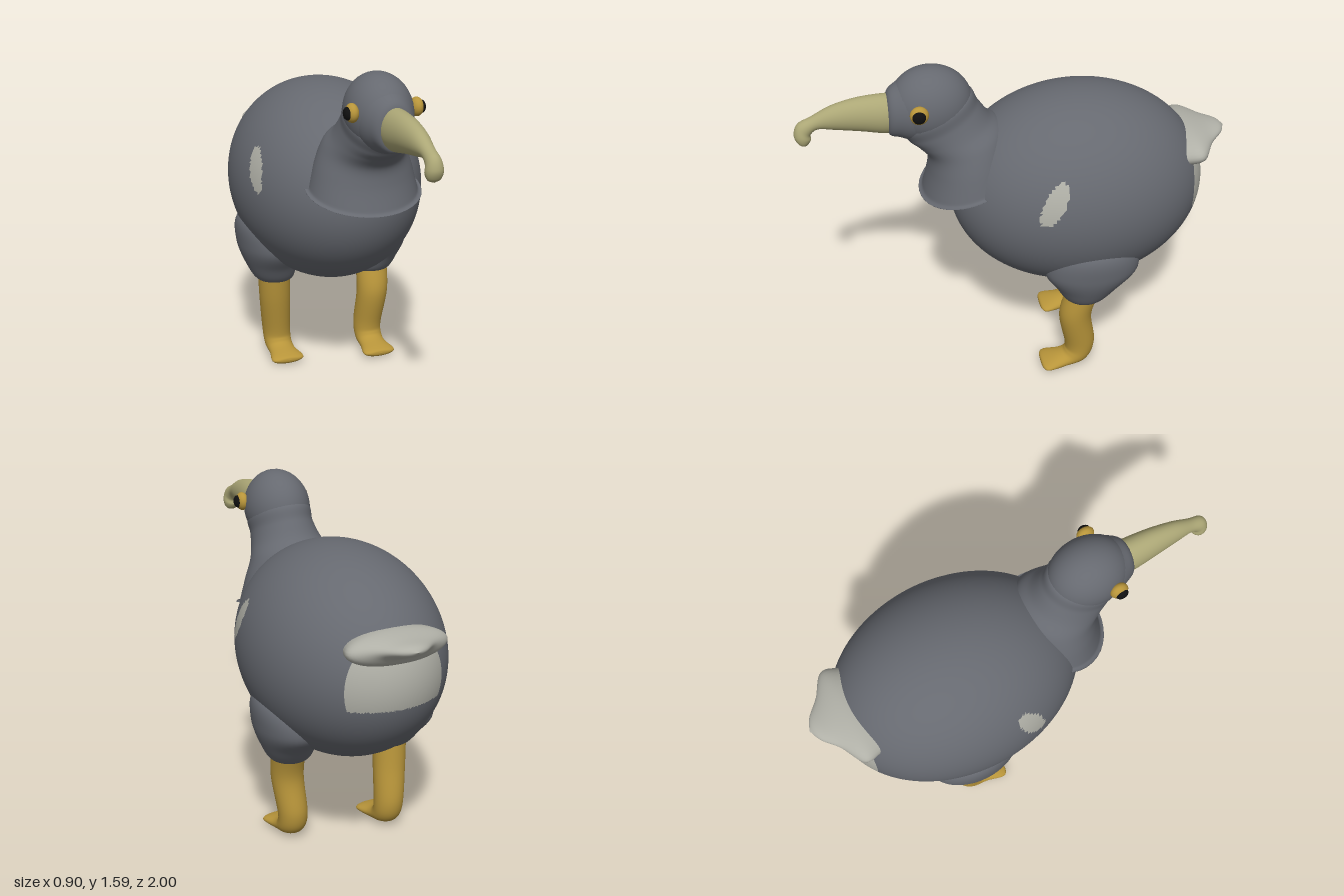
import * as THREE from 'three';

const mat = (name, color) => {
  const m = new THREE.MeshStandardMaterial({ color });
  m.name = name;
  return m;
};

// Smooth skin over elliptical rings [x, halfWidth, zA, yA, zB, yB];
// A and B are the two ends of the ring in the side plane.
function loft(rings, steps = 8, sides = 40) {
  const curve = (f) => new THREE.CatmullRomCurve3(rings.map(f), false, 'catmullrom', 0.5);
  const size = curve((r) => new THREE.Vector3(r[0], r[1], 0));
  const endA = curve((r) => new THREE.Vector3(0, r[3], r[2]));
  const endB = curve((r) => new THREE.Vector3(0, r[5], r[4]));
  const n = (rings.length - 1) * steps;
  const pos = [], index = [];
  for (let i = 0; i <= n; i++) {
    const s = size.getPoint(i / n), a = endA.getPoint(i / n), b = endB.getPoint(i / n);
    const w = Math.max(0, s.y);
    for (let j = 0; j < sides; j++) {
      const t = (j / sides) * Math.PI * 2, k = (Math.sin(t) + 1) / 2;
      pos.push(s.x + w * Math.cos(t), a.y + (b.y - a.y) * k, a.z + (b.z - a.z) * k);
      if (i < n) {
        const p = i * sides + j, q = i * sides + ((j + 1) % sides);
        index.push(p, q, p + sides, q, q + sides, p + sides);
      }
    }
  }
  const g = new THREE.BufferGeometry();
  g.setAttribute('position', new THREE.Float32BufferAttribute(pos, 3));
  g.setIndex(index);
  g.computeVertexNormals();
  return g;
}

function ellipsoid(rx, ry, rz, x, y, z, ws = 40, hs = 28) {
  return new THREE.SphereGeometry(1, ws, hs).rotateX(Math.PI / 2).scale(rx, ry, rz).translate(x, y, z);
}

// Sort faces into two material groups by their centre
function paint(g, test) {
  const p = g.attributes.position, idx = g.index.array, base = [], marked = [];
  const c = new THREE.Vector3(), v = new THREE.Vector3();
  for (let i = 0; i < idx.length; i += 3) {
    c.set(0, 0, 0);
    for (let k = 0; k < 3; k++) c.addScaledVector(v.fromBufferAttribute(p, idx[i + k]), 1 / 3);
    (test(c) ? marked : base).push(idx[i], idx[i + 1], idx[i + 2]);
  }
  g.setIndex([...base, ...marked]);
  g.addGroup(0, base.length, 0);
  g.addGroup(base.length, marked.length, 1);
  return g;
}

export function createModel() {
  const grey = mat('slate plumage', 0x666970);
  const pale = mat('pale feathers', 0xb0b0a7);
  const gold = mat('golden skin', 0xb8953a);
  const horn = mat('beak horn', 0xaca776);
  const black = mat('pupil black', 0x101010);

  const model = new THREE.Group();
  model.name = 'bird';
  const add = (name, geo, material) => {
    const m = new THREE.Mesh(geo, material);
    m.name = name;
    model.add(m);
  };

  // Body with pale rump and pale wing patches
  const isPale = (c) => {
    if (c.z < -0.8 && c.y > 0.85) return true;
    const dz = c.z + 0.1, dy = c.y - 1.065;
    const u = -0.45 * dz + 0.89 * dy, v = 0.89 * dz + 0.45 * dy;
    return (u / 0.112) ** 2 + (v / 0.045) ** 2 < 1;
  };
  add('body', paint(ellipsoid(0.45, 0.485, 0.6, 0, 0.937, -0.29, 180, 120), isPale), [grey, pale]);

  // Tail wedge
  add('tail', loft([
    [0, 0.22, -0.74, 1.19, -0.76, 1.02],
    [0, 0.235, -0.82, 1.195, -0.86, 1.05],
    [0, 0.13, -0.91, 1.18, -0.91, 1.095],
    [0, 0.06, -0.97, 1.17, -0.975, 1.125],
    [0, 0, -1, 1.15, -1, 1.15],
  ]), pale);

  // Neck flaring into a feather collar with a hard hem
  add('neckCollar', loft([
    [0, 0, 0.2, 1.1, 0.2, 1.1],
    [0, 0.255, 0.435, 0.97, 0.0, 1.1],
    [0, 0.255, 0.435, 0.972, 0.0, 1.1],
    [0, 0.228, 0.41, 1.08, 0.03, 1.2],
    [0, 0.195, 0.41, 1.16, 0.06, 1.29],
    [0, 0.165, 0.455, 1.215, 0.12, 1.34],
    [0, 0.147, 0.5, 1.255, 0.17, 1.41],
    [0, 0.135, 0.53, 1.33, 0.22, 1.48],
    [0, 0, 0.38, 1.42, 0.38, 1.42],
  ]), grey);

  // Head and face tapering to the beak
  add('head', ellipsoid(0.152, 0.18, 0.19, 0, 1.42, 0.385), grey);
  add('face', loft([
    [0, 0.13, 0.38, 1.26, 0.38, 1.58],
    [0, 0.134, 0.46, 1.25, 0.46, 1.575],
    [0, 0.11, 0.53, 1.272, 0.53, 1.535],
    [0, 0.073, 0.58, 1.292, 0.58, 1.488],
    [0, 0, 0.58, 1.39, 0.58, 1.39],
  ]), grey);

  // Hooked beak
  add('beak', loft([
    [0, 0.068, 0.55, 1.3, 0.55, 1.48],
    [0, 0.07, 0.6, 1.295, 0.6, 1.485],
    [0, 0.06, 0.7, 1.315, 0.72, 1.477],
    [0, 0.045, 0.82, 1.335, 0.83, 1.45],
    [0, 0.032, 0.89, 1.345, 0.92, 1.405],
    [0, 0.035, 0.925, 1.32, 0.98, 1.375],
    [0, 0.04, 0.925, 1.295, 1.0, 1.325],
    [0, 0.028, 0.943, 1.27, 0.988, 1.285],
    [0, 0, 0.965, 1.265, 0.965, 1.265],
  ]), horn);

  for (const s of [1, -1]) {
    const side = s > 0 ? 'left' : 'right';

    // Eyes
    add(side + 'Eye', ellipsoid(0.03, 0.043, 0.042, s * 0.152, 1.447, 0.455), gold);
    add(side + 'Pupil', ellipsoid(0.02, 0.03, 0.03, s * 0.172, 1.447, 0.458, 24, 16), black);

    // Thigh, leg and foot; the left leg stands further forward
    const hip = s > 0 ? 0.035 : 0, step = s > 0 ? 0.09 : 0;
    const place = (rings) => rings.map(([x, w, zA, yA, zB, yB]) => {
      const d = yA > 0.4 ? hip : step;
      return [s * x, w, zA + d, yA, zB + d, yB];
    });
    add(side + 'Thigh', loft(place([
      [0.3, 0, -0.35, 0.82, -0.35, 0.82],
      [0.285, 0.13, -0.53, 0.74, -0.16, 0.75],
      [0.28, 0.142, -0.57, 0.62, -0.12, 0.62],
      [0.265, 0.125, -0.49, 0.52, -0.18, 0.51],
      [0.25, 0.085, -0.405, 0.43, -0.235, 0.43],
      [0.25, 0, -0.32, 0.43, -0.32, 0.43],
    ])), grey);
    add(side + 'LegAndFoot', loft(place([
      [0.253, 0.08, -0.4, 0.47, -0.24, 0.47],
      [0.245, 0.077, -0.415, 0.32, -0.26, 0.32],
      [0.231, 0.07, -0.438, 0.14, -0.293, 0.14],
      [0.229, 0.067, -0.4, 0.04, -0.29, 0.095],
      [0.228, 0.066, -0.3, 0.008, -0.265, 0.075],
      [0.228, 0.082, -0.205, 0.008, -0.205, 0.057],
      [0.228, 0.06, -0.178, 0.018, -0.178, 0.046],
      [0.228, 0, -0.172, 0.032, -0.172, 0.032],
    ])), gold);
  }
  return model;
}
